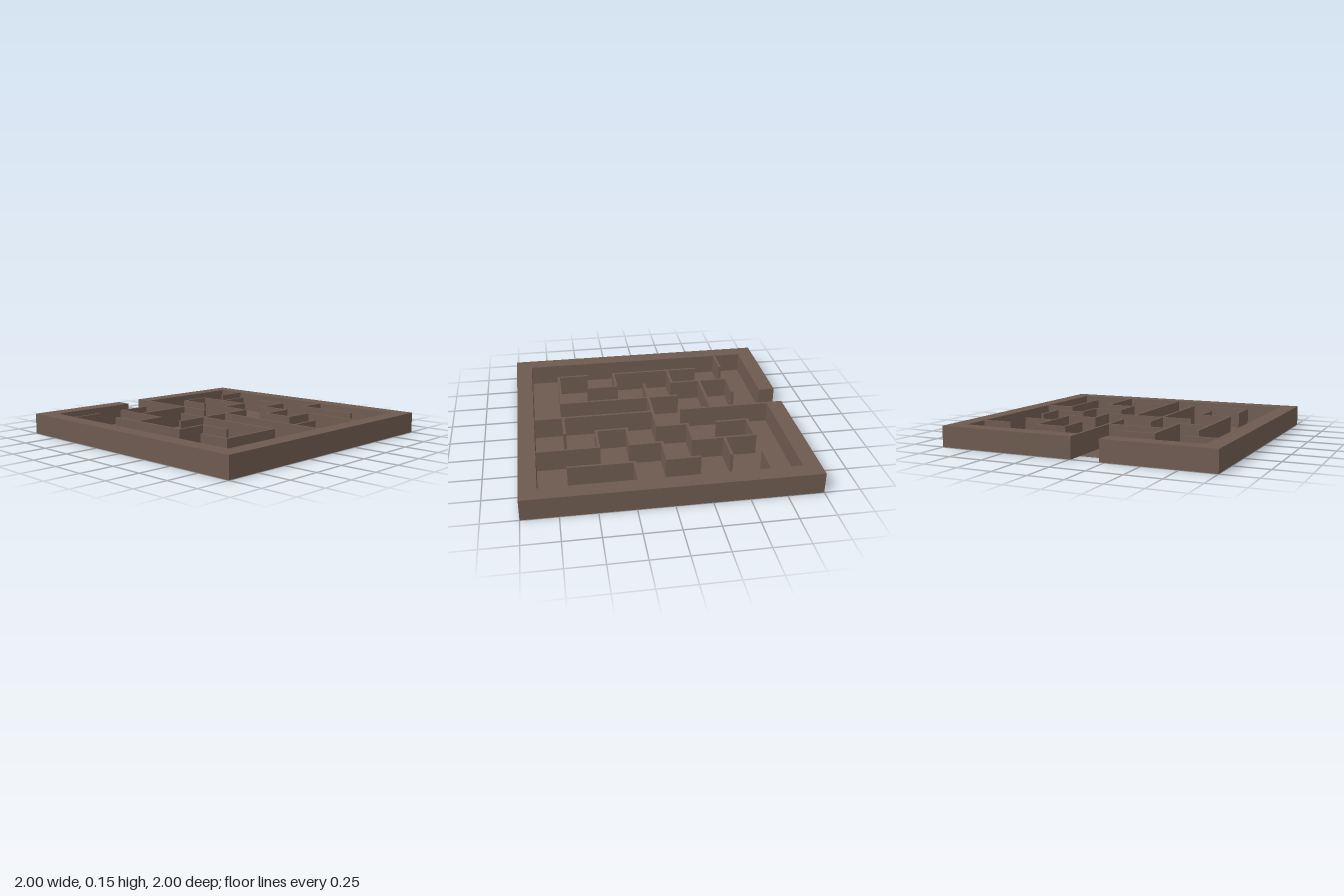
import * as THREE from 'three';

const HEIGHT = 0.15, PITCH = 0.2225, HALF = 0.01, CELLS = 8;
const N = CELLS * 2 + 1; // wall lines (even) alternate with corridor cells (odd)

// Inner walls as polylines on the 0..8 lattice (x, z pairs)
const PATHS = [
  [1, 0, 1, 1], [5, 0, 5, 1, 7, 1], [3, 1, 4, 1, 4, 2, 5, 2, 5, 3, 6, 3, 6, 2, 8, 2],
  [2, 1, 2, 2], [2, 3, 1, 3, 1, 2, 3, 2, 3, 3, 4, 3, 4, 6], [7, 3, 7, 4],
  [0, 4, 3, 4], [4, 4, 8, 4], [2, 4, 2, 6], [3, 5, 7, 5, 7, 7, 6, 7],
  [1, 5, 1, 6, 3, 6, 3, 7], [2, 7, 5, 7, 5, 6, 6, 6], [1, 7, 1, 8],
];

// Edges of the uneven grid, the same along x and z
function gridLines() {
  const lines = [-1];
  for (let k = 0; k <= CELLS; k++) {
    const c = (k - CELLS / 2) * PITCH;
    if (k > 0) lines.push(c - HALF);
    if (k < CELLS) lines.push(c + HALF);
  }
  return [...lines, 1];
}

// Mark every square of the plan as floor, innerWalls, border or empty
function planMaze() {
  const plan = Array.from({ length: N }, () => Array(N).fill('floor'));
  for (const p of PATHS) {
    for (let i = 0; i + 3 < p.length; i += 2) {
      const [x0, z0, x1, z1] = p.slice(i, i + 4).map((v) => v * 2);
      const steps = Math.abs(x1 - x0) + Math.abs(z1 - z0);
      for (let s = 0; s <= steps; s++) {
        plan[z0 + Math.sign(z1 - z0) * s][x0 + Math.sign(x1 - x0) * s] = 'innerWalls';
      }
    }
  }
  for (let i = 0; i < N; i++) {
    plan[0][i] = plan[N - 1][i] = plan[i][0] = plan[i][N - 1] = 'border';
  }
  plan[9][0] = 'empty'; // entrance gap in the border
  return plan;
}

export function createModel() {
  const group = new THREE.Group();
  group.name = 'maze';
  const material = new THREE.MeshStandardMaterial({ color: 0x6d5a4f, side: THREE.DoubleSide });
  const lines = gridLines(), plan = planMaze();
  const parts = { floor: [], innerWalls: [], border: [] };
  const quad = (out, a, b, c, d) => out.push(...a, ...b, ...c, ...a, ...c, ...d);
  const solid = (r, c) => ['border', 'innerWalls'].includes(plan[r]?.[c]);
  const sides = [[0, 1], [1, 0], [0, -1], [-1, 0]]; // column, row offsets

  for (let r = 0; r < N; r++) {
    for (let c = 0; c < N; c++) {
      const out = parts[plan[r][c]];
      if (!out) continue;
      const x0 = lines[c], x1 = lines[c + 1], z0 = lines[r], z1 = lines[r + 1];
      const corners = [[x0, z1], [x1, z1], [x1, z0], [x0, z0]];
      const at = (i, y) => [corners[i % 4][0], y, corners[i % 4][1]];
      const top = solid(r, c) ? HEIGHT : 0;
      quad(out, at(0, top), at(1, top), at(2, top), at(3, top));
      // Upright faces wherever a wall meets open space; walls are hollow below
      if (top) sides.forEach(([dc, dr], i) => {
        if (!solid(r + dr, c + dc)) quad(out, at(i, 0), at(i + 1, 0), at(i + 1, top), at(i, top));
      });
    }
  }

  for (const [name, positions] of Object.entries(parts)) {
    const geometry = new THREE.BufferGeometry();
    geometry.setAttribute('position', new THREE.Float32BufferAttribute(positions, 3));
    geometry.computeVertexNormals();
    const mesh = new THREE.Mesh(geometry, material);
    mesh.name = name;
    group.add(mesh);
  }
  return group;
}
